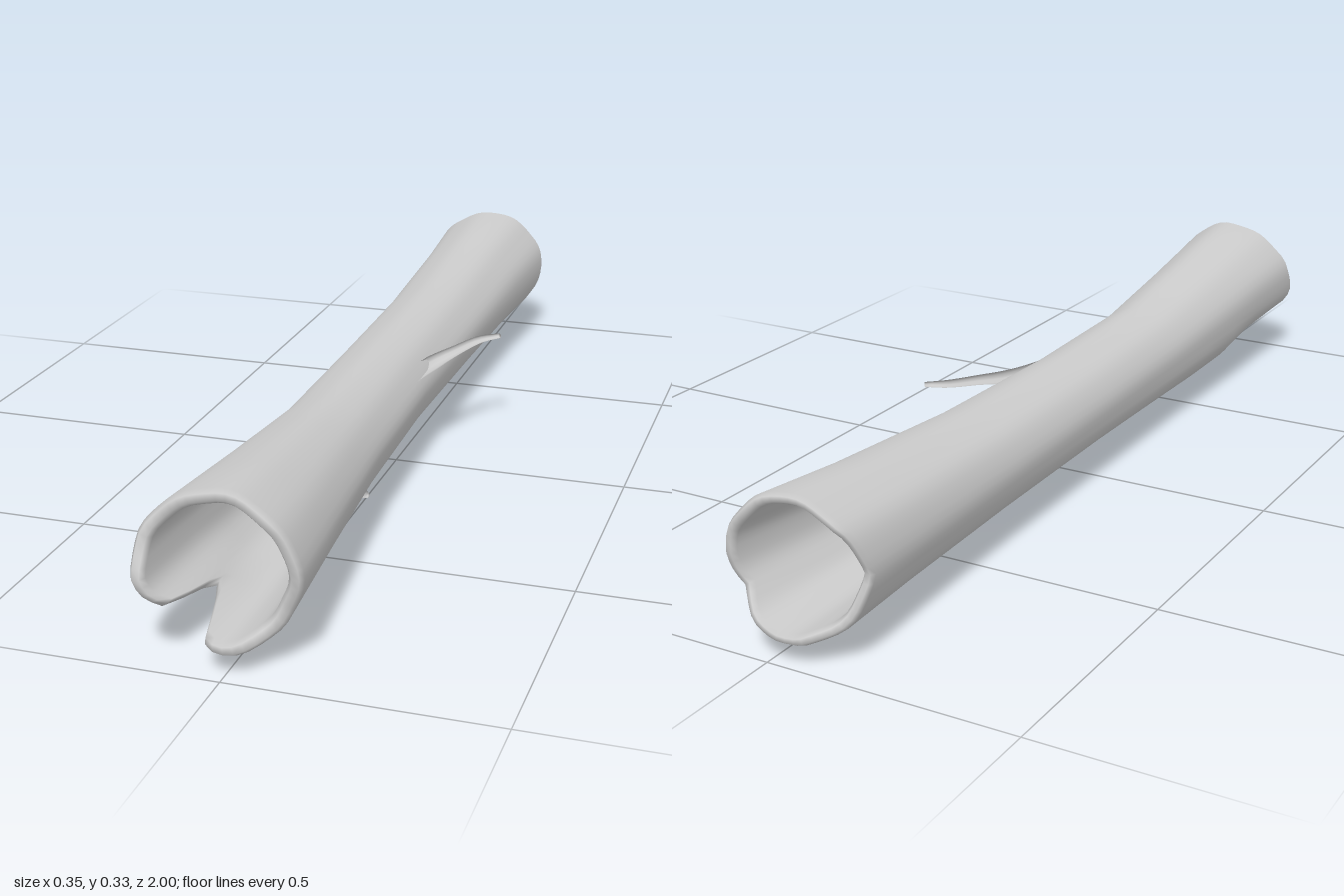
import * as THREE from 'three';

const material = new THREE.MeshStandardMaterial({ color: 0xcccccc, roughness: 0.9 });
const SIDES = 48;

// Piecewise-linear lookup: keys are rows of [position, value, value, ...]
function lookup(keys, p, column = 1) {
  for (let k = 1; k < keys.length; k++) {
    const a = keys[k - 1], b = keys[k];
    if (p <= b[0]) return THREE.MathUtils.lerp(a[column], b[column], Math.max(0, (p - a[0]) / (b[0] - a[0])));
  }
  return keys[keys.length - 1][column];
}

// Indexed smooth surface from a grid of points; either direction may wrap round
function gridGeometry(rows, wrapRows) {
  const n = rows.length, m = rows[0].length, index = [];
  for (let i = 0; i < (wrapRows ? n : n - 1); i++) {
    for (let j = 0; j < m; j++) {
      const i2 = (i + 1) % n, j2 = (j + 1) % m;
      const a = i * m + j, b = i * m + j2, c = i2 * m + j, d = i2 * m + j2;
      index.push(a, b, c, c, b, d);
    }
  }
  const geometry = new THREE.BufferGeometry().setFromPoints(rows.flat());
  geometry.setIndex(index);
  geometry.computeVertexNormals();
  return geometry;
}

// Outer extents of the trunk: z, left x, right x, bottom y, top y
const SECTIONS = [
  [-0.97, -0.177, 0.1, 0.04, 0.31],
  [-0.75, -0.165, 0.085, 0.046, 0.29],
  [-0.4, -0.154, 0.072, 0.052, 0.268],
  [0, -0.15, 0.065, 0.055, 0.262],
  [0.35, -0.146, 0.073, 0.047, 0.266],
  [0.65, -0.154, 0.1, 0.042, 0.296],
  [0.96, -0.165, 0.132, 0.038, 0.33],
];

// Ragged ends: angle in degrees, z of the rim
const FRONT_EDGE = [
  [0, 0.95], [45, 0.958], [90, 0.95], [140, 0.955], [165, 0.97], [185, 1], [205, 0.99],
  [220, 0.97], [230, 0.87], [240, 0.82], [252, 0.88], [260, 0.975], [272, 0.99],
  [290, 0.985], [310, 0.95], [330, 0.943], [360, 0.95],
];
const BACK_EDGE = [
  [0, -0.975], [45, -0.978], [90, -0.968], [135, -0.965], [180, -0.925], [215, -0.95],
  [255, -0.995], [280, -1], [305, -0.985], [330, -0.955], [360, -0.975],
];

function trunkPoint(degrees, z, inset, squeeze) {
  const [x0, x1, y0, y1] = [1, 2, 3, 4].map((c) => lookup(SECTIONS, z, c));
  const angle = THREE.MathUtils.degToRad(degrees);
  // Slight bark unevenness, and the split edges curling inwards
  const bumps = 1 + 0.012 * Math.sin(angle * 5 + 1) + 0.01 * Math.sin(angle * 9 + z * 2);
  const curl = 1 - squeeze * Math.exp(-(((degrees - 230) / 28) ** 2));
  return new THREE.Vector3(
    (x0 + x1) / 2 + ((x1 - x0) / 2 * bumps - inset) * curl * Math.cos(angle),
    (y0 + y1) / 2 + ((y1 - y0) / 2 * bumps - inset) * curl * Math.sin(angle),
    z,
  );
}

// Hollow trunk: each row runs down the outside, round the back rim and up the inside
function makeTrunk() {
  const stations = [0.78, 0.65, 0.5, 0.35, 0.18, 0, -0.2, -0.4, -0.58, -0.75];
  const rows = [];
  for (let i = 0; i < SIDES; i++) {
    const degrees = (i / SIDES) * 360;
    const front = lookup(FRONT_EDGE, degrees), back = lookup(BACK_EDGE, degrees);
    const curlAt = (z) => 0.2 * THREE.MathUtils.smoothstep(z, 0.6, 0.85);
    const point = (z, inset) => trunkPoint(degrees, z, inset, curlAt(z));
    rows.push([
      point(front - 0.012, 0),
      ...stations.map((z) => point(z, 0)),
      point(back + 0.01, 0),
      point(back, 0.006), point(back, 0.016),
      point(back + 0.01, 0.022),
      ...stations.toReversed().map((z) => point(z, 0.022)),
      point(front - 0.012, 0.028),
      point(front, 0.021), point(front, 0.007),
    ]);
  }
  return gridGeometry(rows, true);
}

// Tapered twig: rows of [x, y, z, width, height], width lying across the path
function makeTwig(points) {
  const curve = new THREE.CatmullRomCurve3(points.map((p) => new THREE.Vector3(...p)));
  const sizes = points.map((p, k) => [k / (points.length - 1), p[3], p[4]]);
  const steps = 14, sides = 10, rows = [];
  for (let s = 0; s <= steps; s++) {
    const t = s / steps, centre = curve.getPoint(t), tangent = curve.getTangent(t);
    const across = new THREE.Vector3(0, 1, 0).cross(tangent).normalize();
    const upward = tangent.clone().cross(across);
    const ring = [];
    for (let k = 0; k < sides; k++) {
      const a = (-k / sides) * Math.PI * 2;
      ring.push(centre.clone()
        .addScaledVector(across, Math.cos(a) * lookup(sizes, t, 1))
        .addScaledVector(upward, Math.sin(a) * lookup(sizes, t, 2)));
    }
    rows.push(ring);
  }
  // Close the tip
  rows.push(rows[steps].map(() => curve.getPoint(1)));
  return gridGeometry(rows, false);
}

export function createModel() {
  const group = new THREE.Group();
  group.name = 'hollowLog';
  const add = (name, geometry) => {
    const mesh = new THREE.Mesh(geometry, material);
    mesh.name = name;
    group.add(mesh);
  };

  add('trunk', makeTrunk());

  // Twig on the left side, sweeping backwards
  add('sideTwig', makeTwig([
    [0.045, 0.208, 0.06, 0.012, 0.012],
    [0.063, 0.213, -0.05, 0.022, 0.014],
    [0.1, 0.222, -0.13, 0.014, 0.01],
    [0.135, 0.228, -0.195, 0.01, 0.008],
    [0.171, 0.23, -0.225, 0.007, 0.005],
  ]));

  // Broken stub underneath
  add('bottomStub', makeTwig([
    [-0.02, 0.062, 0.42, 0.012, 0.012],
    [-0.014, 0.045, 0.31, 0.014, 0.016],
    [-0.006, 0.028, 0.245, 0.01, 0.016],
    [0.003, 0.005, 0.208, 0.004, 0.005],
  ]));

  return group;
}
